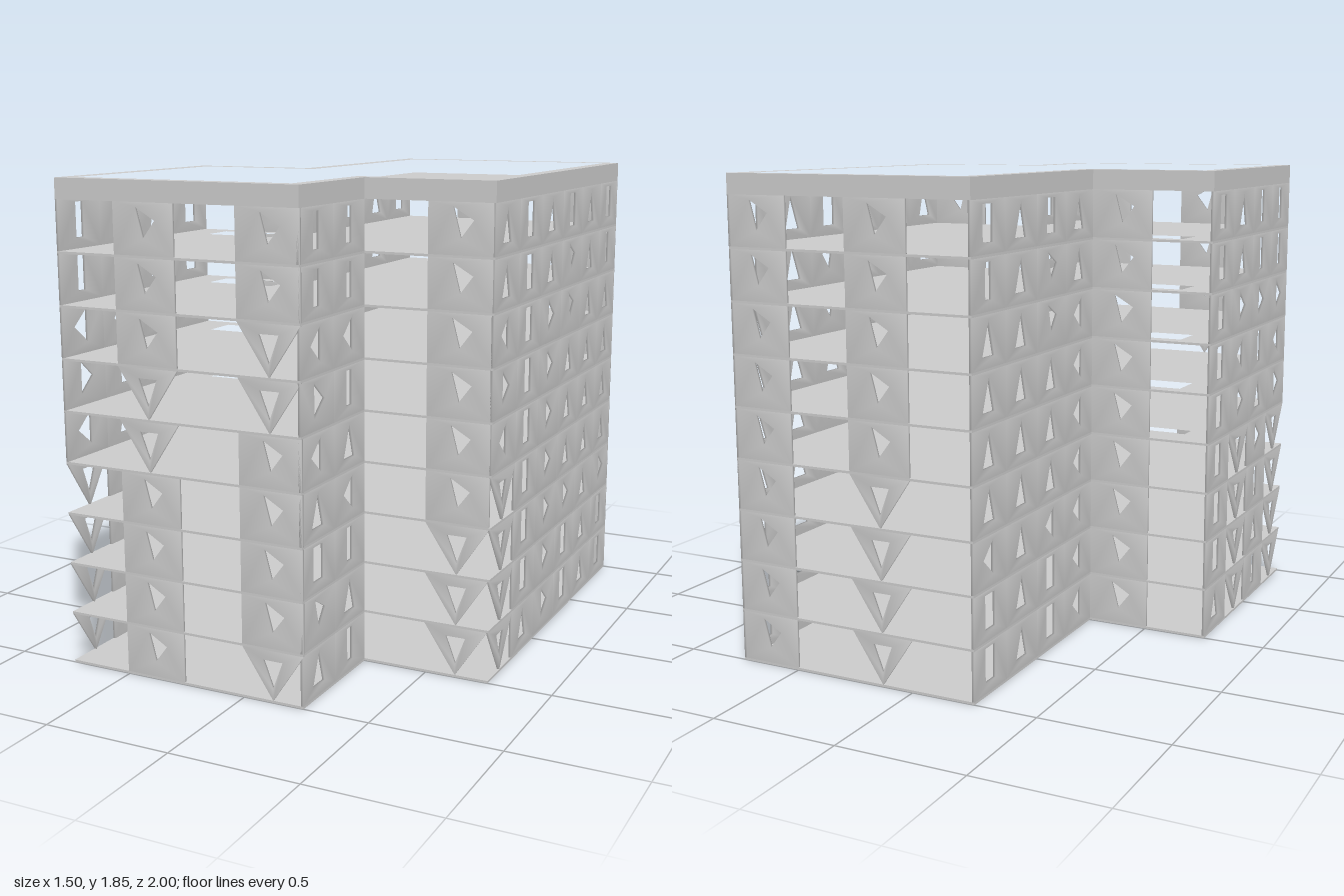
import * as THREE from 'three';
import { mergeVertices } from 'three/addons/utils/BufferGeometryUtils.js';

const FLOORS = 9, PITCH = 0.197, SLAB = 0.009, BAY = 0.25, SKIN = 0.01, TOP = 1.85;
const X0 = -0.755, X1 = -0.255, X2 = 0.243, X3 = 0.75;

// Stepped footprint, optionally inset
const footprint = (d) => [
  [X0 + d, d], [X1 + d, d], [X1 + d, -1 + d], [X3 - d, -1 + d],
  [X3 - d, 0.5 - d], [X2 - d, 0.5 - d], [X2 - d, 1 - d], [X0 + d, 1 - d],
];
const STAIRWELL = [[-0.61, 0.06], [-0.32, 0.06], [-0.32, 0.2], [-0.61, 0.2]];

const toVectors = (pts) => pts.map(([x, y]) => new THREE.Vector2(x, y));

function extrude(outline, holes, depth) {
  const shape = new THREE.Shape(toVectors(outline));
  shape.holes = holes.map((h) => new THREE.Path(toVectors(h)));
  return new THREE.ExtrudeGeometry(shape, { depth, bevelEnabled: false });
}

// Horizontal plate from a plan in (x, z)
function plate(outline, holes, thickness) {
  const flip = (pts) => pts.map(([x, z]) => [x, -z]);
  return extrude(flip(outline), holes.map(flip), thickness).rotateX(-Math.PI / 2);
}

// Shared corners give the panels their soft, pillowed shading
function soften(geometry) {
  geometry.deleteAttribute('normal');
  geometry.deleteAttribute('uv');
  const merged = mergeVertices(geometry, 1e-4);
  merged.computeVertexNormals();
  return merged;
}

// Window openings, by letter
const OPENINGS = {
  r: [[0.085, 0.04], [0.16, 0.04], [0.16, 0.172], [0.085, 0.172]],
  n: [[0.1, 0.04], [0.145, 0.04], [0.145, 0.172], [0.1, 0.172]],
  u: [[0.075, 0.04], [0.165, 0.04], [0.125, 0.172]],
  l: [[0.075, 0.105], [0.15, 0.04], [0.15, 0.172]],
  t: [[0.1, 0.04], [0.18, 0.105], [0.1, 0.172]],
  d: [[0.125, 0.06], [0.175, 0.125], [0.095, 0.172]],
  V: [[0.125, 0.045], [0.165, 0.15], [0.085, 0.15]],
};

function panelGeometry(kind) {
  const h = PITCH - SLAB;
  const outline = kind === 'V'
    ? [[0.125, 0], [BAY, h], [0, h]] // hanging triangle
    : [[0, 0], [BAY, 0], [BAY, h], [0, h]];
  return soften(extrude(outline, [OPENINGS[kind]], SKIN));
}

// Each string is one floor from the ground up, one letter per bay
const RIGHT = ['unVutrur', 'duVrtrur', 'rnVrttut', 'ulVrtuuu', 'lulrtuuu',
  'tntrtuuu', 'lllrtduu', 'nnurudun', 'nnururdr'.replace('d', 'u')];
const MIRROR = { l: 't', t: 'l' };
const mirrorRow = (row) => [...row].reverse().map((k) => MIRROR[k] || k).join('');

const LEFT_FRONT = RIGHT.map((row, f) => {
  const m = mirrorRow(row.slice(0, 4));
  return f < 4 ? m.slice(0, 3) + 'V' : m;
});
const LEFT_BACK = RIGHT.map((row) => mirrorRow(row.slice(4)));

// Facades: start corner, turn about y, floors; a dash is an open bay
const FACADES = [
  { name: 'frontWing', x: X0, z: 1, turn: 0,
    rows: ['-d-V', '-d-d', '-d-d', '-d-d', '-V-d', '-V-V', '-d-V', '-d-d', '-d-d'] },
  { name: 'frontMain', x: X2, z: 0.5, turn: 0,
    rows: ['-V', '-V', '-V', '-d', '-d', '-d', '-d', '-d', '-d'] },
  { name: 'rightWing', x: X2, z: 1, turn: Math.PI / 2, rows: RIGHT.map((r) => r.slice(0, 2)) },
  { name: 'rightMain', x: X3, z: 0.5, turn: Math.PI / 2, rows: RIGHT.map((r) => r.slice(2)) },
  { name: 'backMain', x: X3, z: -1, turn: Math.PI,
    rows: ['d-V-', 'd-V-', 'd-V-', 'd-V-', 'd-d-', 'd-d-', 'd-d-', 'd-d-', 'd-d-'] },
  { name: 'backWing', x: X1, z: 0, turn: Math.PI, rows: Array(FLOORS).fill('d-') },
  { name: 'leftMain', x: X1, z: -1, turn: -Math.PI / 2, rows: LEFT_BACK },
  { name: 'leftWing', x: X0, z: 0, turn: -Math.PI / 2, rows: LEFT_FRONT },
];

export function createModel() {
  const model = new THREE.Group();
  model.name = 'apartmentBlock';
  const material = new THREE.MeshStandardMaterial({ color: 0xcccccc });

  const add = (parent, name, geometry, x = 0, y = 0, z = 0) => {
    const mesh = new THREE.Mesh(geometry, material);
    mesh.name = name;
    mesh.position.set(x, y, z);
    parent.add(mesh);
    return mesh;
  };

  // Floor slabs, all but the lowest pierced by the stairwell
  const slab = plate(footprint(0), [STAIRWELL], SLAB);
  add(model, 'groundSlab', plate(footprint(0), [], SLAB));
  for (let f = 1; f <= FLOORS; f++) add(model, f < FLOORS ? 'floorSlab' : 'roofSlab', slab, 0, f * PITCH, 0);

  // Parapet and the raised deck over the main block
  const roofY = FLOORS * PITCH + SLAB;
  add(model, 'parapet', plate(footprint(0), [footprint(0.055)], TOP - roofY), 0, roofY, 0);
  const deck = [[X1 + 0.055, -0.945], [X3 - 0.055, -0.945], [X3 - 0.055, 0.445],
    [X2 - 0.055, 0.445], [X2 - 0.055, 0.49], [X1, 0.49], [X1, 0.055], [X1 + 0.055, 0.055]];
  add(model, 'mainRoofDeck', plate(deck, [], 0.008), 0, roofY, 0);

  // Facade panels
  const panels = {};
  for (const kind of Object.keys(OPENINGS)) panels[kind] = panelGeometry(kind);
  for (const { name, x, z, turn, rows } of FACADES) {
    const facade = new THREE.Group();
    facade.name = name + 'Facade';
    facade.position.set(x, 0, z);
    facade.rotation.y = turn;
    rows.forEach((row, f) => [...row].forEach((kind, i) => {
      if (kind !== '-') add(facade, 'windowPanel', panels[kind], i * BAY, f * PITCH + SLAB, -SKIN);
    }));
    model.add(facade);
  }
  return model;
}
